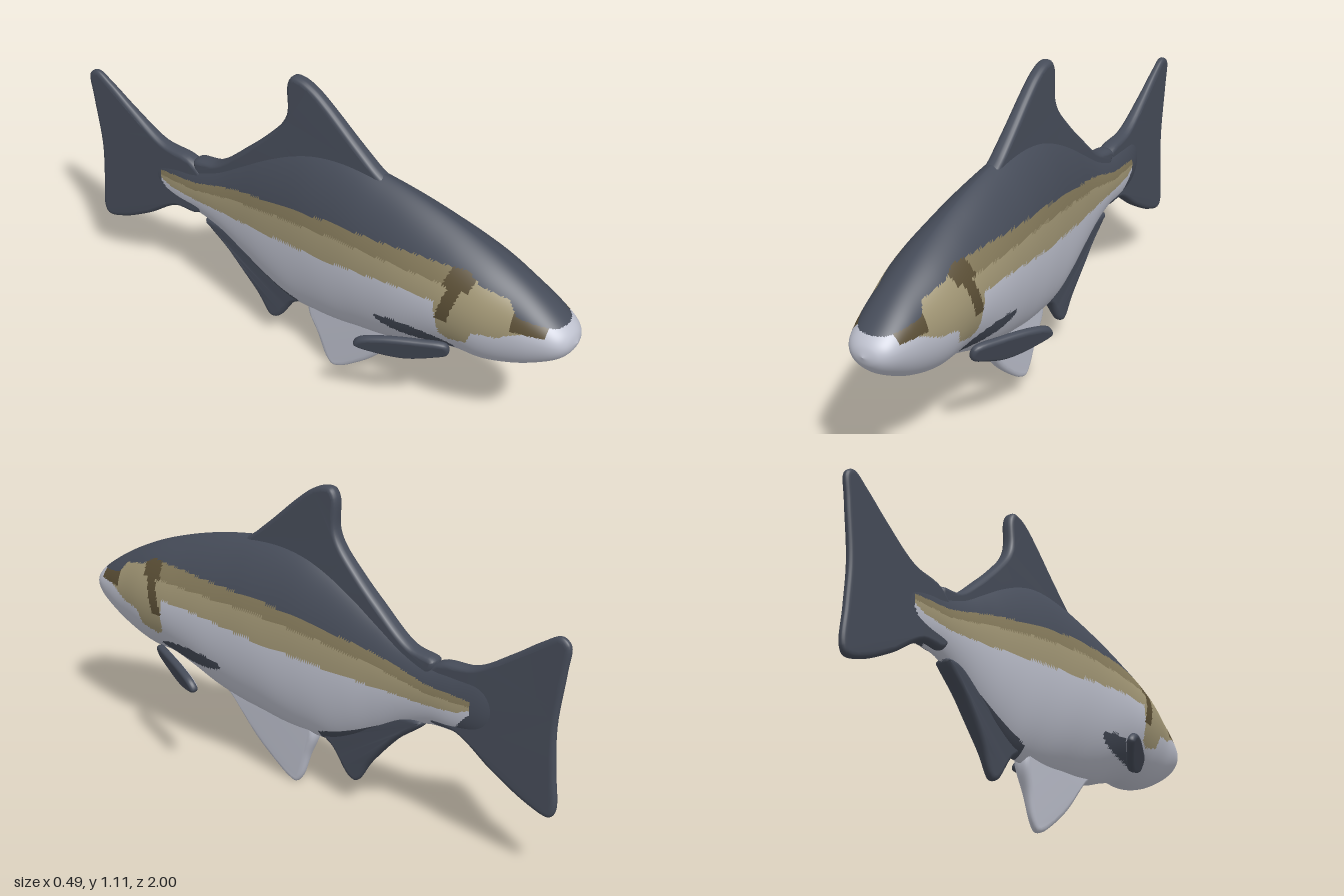
import * as THREE from 'three';
import { mergeVertices } from 'three/addons/utils/BufferGeometryUtils.js';

const material = (name, color, side = THREE.FrontSide) => {
  const m = new THREE.MeshStandardMaterial({ color, side });
  m.name = name;
  return m;
};

// Piecewise linear lookup in a list of [z, y], z falling
function lookup(list, z) {
  if (z >= list[0][0]) return list[0][1];
  for (let i = 1; i < list.length; i++) {
    const [z0, y0] = list[i - 1], [z1, y1] = list[i];
    if (z >= z1) return y0 + (y1 - y0) * (z0 - z) / (z0 - z1);
  }
  return list[list.length - 1][1];
}

// Body stations: z, top, bottom, half width, height of widest point
const STATIONS = [
  [1.0, 0.545, 0.545, 0.0, 0.545], [0.985, 0.58, 0.508, 0.05, 0.545],
  [0.95, 0.612, 0.47, 0.082, 0.55], [0.88, 0.66, 0.425, 0.105, 0.55],
  [0.8, 0.705, 0.385, 0.122, 0.55], [0.7, 0.752, 0.352, 0.143, 0.56],
  [0.6, 0.79, 0.343, 0.152, 0.57], [0.5, 0.822, 0.31, 0.153, 0.57],
  [0.4, 0.848, 0.27, 0.151, 0.57], [0.3, 0.868, 0.245, 0.145, 0.57],
  [0.2, 0.882, 0.23, 0.138, 0.57], [0.1, 0.885, 0.215, 0.128, 0.56],
  [0.0, 0.87, 0.21, 0.116, 0.56], [-0.1, 0.835, 0.215, 0.102, 0.55],
  [-0.2, 0.785, 0.255, 0.087, 0.54], [-0.3, 0.725, 0.31, 0.07, 0.53],
  [-0.4, 0.665, 0.365, 0.056, 0.52], [-0.5, 0.63, 0.4, 0.046, 0.515],
  [-0.6, 0.625, 0.405, 0.039, 0.51], [-0.7, 0.62, 0.42, 0.027, 0.515],
  [-0.78, 0.56, 0.48, 0.004, 0.52],
];

// Colour borders along the flank
const BACK = [[0.95, 0.603], [0.83, 0.625], [0.8, 0.665], [0.7, 0.69], [0.65, 0.72], [0.46, 0.72],
  [0.14, 0.70], [-0.075, 0.665], [-0.29, 0.62], [-0.5, 0.556], [-0.675, 0.54]];
const STRIPE = [[0.57, 0.665], [0.4, 0.662], [0.15, 0.65], [-0.1, 0.615], [-0.3, 0.575], [-0.5, 0.527], [-0.67, 0.52]];
const BELLY = [[0.92, 0.6], [0.84, 0.57], [0.78, 0.54], [0.7, 0.53], [0.68, 0.475], [0.61, 0.455], [0.58, 0.47],
  [0.565, 0.6], [0.4, 0.59], [0.2, 0.56], [0, 0.535], [-0.3, 0.5], [-0.5, 0.484], [-0.62, 0.49], [-0.67, 0.51]];
const ANAL = [[-0.06, 0.25], [-0.15, 0.275], [-0.34, 0.357], [-0.48, 0.4]];

// Colour index on the body: 0 slate, 1 dark tan, 2 tan, 3 brown, 4 pale
function paint(z, y) {
  if (z < -0.67 || y > lookup(BACK, z)) return 0;
  if (z < -0.585 && y < 0.405 + (-0.585 - z) * 1.1) return 0;
  if (z < -0.06 && z > -0.48 && y < lookup(ANAL, z)) return 0;
  if (((z - 0.47) / 0.15) ** 2 + ((y - 0.405) / 0.032) ** 2 < 1) return 0;
  if (z > 0.93) return 4;
  if (z > 0.82 && y > 0.578) return 3;
  const gill = 0.61 + (y - 0.6) * 0.3;
  const reach = y > 0.66 ? 0.045 : 0.022;
  if (y > 0.535 && Math.abs(z - gill) < reach) return 3;
  if (y < lookup(BELLY, z)) return 4;
  return z < 0.6 && y > lookup(STRIPE, z) ? 1 : 2;
}

// Lofted body, grouped by colour so that the normals stay smooth
function bodyGeometry() {
  const curve = (a, b) => new THREE.CatmullRomCurve3(
    STATIONS.map(s => new THREE.Vector3(s[0], s[a], s[b])), false, 'catmullrom', 0.5);
  const heights = curve(1, 2), widths = curve(3, 4);
  const rows = 240, cols = 128, pos = [], faces = [[], [], [], [], []];
  for (let i = 0; i <= rows; i++) {
    const h = heights.getPoint(i / rows), w = widths.getPoint(i / rows);
    const power = 1 + 0.3 * THREE.MathUtils.smoothstep(-h.x, -0.95, -0.5);
    for (let j = 0; j < cols; j++) {
      const t = j / cols * Math.PI * 2, s = Math.sin(t), c = Math.cos(t);
      const x = Math.max(w.y, 0) * Math.sign(s) * Math.abs(s) ** power;
      pos.push(x, w.z + c * (c > 0 ? h.y - w.z : w.z - h.z), h.x);
    }
  }
  for (let i = 0; i < rows; i++) for (let j = 0; j < cols; j++) {
    const k = (j + 1) % cols;
    const a = i * cols + j, b = i * cols + k, c = a + cols, d = b + cols;
    for (const f of [[a, b, c], [b, d, c]]) {
      const mid = n => f.reduce((sum, v) => sum + pos[v * 3 + n], 0) / 3;
      faces[paint(mid(2), mid(1))].push(...f);
    }
  }
  const geo = new THREE.BufferGeometry();
  geo.setAttribute('position', new THREE.Float32BufferAttribute(pos, 3));
  geo.setIndex(faces.flat());
  let start = 0;
  faces.forEach((f, m) => { geo.addGroup(start, f.length, m); start += f.length; });
  geo.computeVertexNormals();
  return geo;
}

// Rounded plate in the z-y plane from an outline of [z, y]; taper scales its thickness
function finGeometry(outline, half, taper = () => 1, bevel = 0.016) {
  const spline = new THREE.CatmullRomCurve3(outline.map(p => new THREE.Vector3(p[0], p[1], 0)), true, 'centripetal');
  const points = spline.getPoints(outline.length * 6).slice(0, -1).map(p => new THREE.Vector2(p.x, p.y));
  let geo = new THREE.ExtrudeGeometry(new THREE.Shape(points), {
    depth: half * 0.4, bevelEnabled: true, bevelThickness: half * 0.8,
    bevelSize: bevel, bevelOffset: -bevel, bevelSegments: 4,
  });
  geo.translate(0, 0, -half * 0.2).rotateY(-Math.PI / 2);
  geo.deleteAttribute('uv');
  geo.deleteAttribute('normal');
  geo = mergeVertices(geo, 1e-5);
  const p = geo.attributes.position;
  for (let i = 0; i < p.count; i++) p.setX(i, p.getX(i) * taper(p.getZ(i), p.getY(i)));
  geo.computeVertexNormals();
  return geo;
}

export function createModel() {
  const slate = material('slate', 0x464c59);
  const darkTan = material('dark tan', 0x857a5b);
  const tan = material('tan', 0xa09574);
  const brown = material('brown', 0x5a4e35);
  const pale = material('pale', 0xbfc2cf);

  const model = new THREE.Group();
  model.name = 'fish';
  const add = (name, geo, mat, parent = model, x = -0.01) => {
    const mesh = new THREE.Mesh(geo, mat);
    mesh.name = name;
    mesh.position.x = x;
    parent.add(mesh);
    return mesh;
  };

  add('body', bodyGeometry(), [slate, darkTan, tan, brown, pale]);

  // Fins along the middle
  add('dorsalFin', finGeometry([[0.3, 0.84], [0.235, 0.895], [0.16, 0.958], [0.06, 1.045], [0, 1.09], [-0.05, 1.112],
    [-0.09, 1.112], [-0.11, 1.08], [-0.11, 0.98], [-0.13, 0.93], [-0.2, 0.85], [-0.29, 0.765], [-0.42, 0.658],
    [-0.52, 0.632], [-0.5, 0.58], [-0.3, 0.6], [0, 0.75], [0.2, 0.8]], 0.025,
    (z, y) => 1.25 - 0.35 * THREE.MathUtils.smoothstep(y, 0.7, 1.1)), slate);
  add('tailFin', finGeometry([[-0.45, 0.55], [-0.53, 0.63], [-0.665, 0.65], [-0.8, 0.73], [-0.9, 0.798], [-0.965, 0.832],
    [-0.998, 0.81], [-0.99, 0.72], [-0.966, 0.53], [-0.972, 0.38], [-0.98, 0.25], [-0.96, 0.222], [-0.88, 0.242],
    [-0.745, 0.315], [-0.61, 0.405], [-0.5, 0.42]], 0.022,
    z => 1.35 - 0.75 * THREE.MathUtils.smoothstep(-z, 0.5, 1)), slate, model, -0.015);
  add('pelvicFin', finGeometry([[0.4, 0.29], [0.355, 0.252], [0.25, 0.125], [0.17, 0.055], [0.105, 0.01], [0.07, 0.001],
    [0.042, 0.03], [0.01, 0.12], [-0.025, 0.215], [0.0, 0.3], [0.2, 0.35]], 0.026,
    (z, y) => 0.5 + 0.75 * THREE.MathUtils.smoothstep(y, 0, 0.3)), pale);
  add('analFin', finGeometry([[-0.06, 0.23], [-0.1, 0.195], [-0.165, 0.105], [-0.2, 0.095], [-0.26, 0.18], [-0.37, 0.305],
    [-0.48, 0.4], [-0.4, 0.41], [-0.2, 0.31]], 0.026,
    (z, y) => 0.6 + 0.5 * THREE.MathUtils.smoothstep(y, 0.1, 0.3)), slate);

  // Side fins, slate outside with a pale inner face
  const outline = [[0, -0.02], [0, 0.025], [0.1, 0.042], [0.22, 0.045], [0.29, 0.03],
    [0.31, 0], [0.25, -0.035], [0.15, -0.06], [0.06, -0.045]];
  const along = new THREE.Vector3(0.12, -0.03, -0.28).normalize();
  const across = new THREE.Vector3(0.04, 0.1, 0);
  across.addScaledVector(along, -across.dot(along)).normalize();
  const frame = new THREE.Matrix4()
    .makeBasis(new THREE.Vector3().crossVectors(across, along), across, along)
    .setPosition(0.115, 0.39, 0.6);
  const blade = finGeometry(outline, 0.014, () => 1, 0.012).applyMatrix4(frame);
  const inner = finGeometry(outline.map(([u, v]) => [0.03 + u * 0.85, v * 0.72]), 0.004, () => 1, 0.004)
    .translate(0.0125, 0, 0).applyMatrix4(frame);
  for (const side of [1, -1]) {
    const fin = new THREE.Group();
    fin.name = side > 0 ? 'leftPectoralFin' : 'rightPectoralFin';
    fin.scale.x = side;
    add('finBlade', blade, slate, fin, 0);
    add('finInnerFace', inner, pale, fin, 0);
    model.add(fin);
  }
  return model;
}
